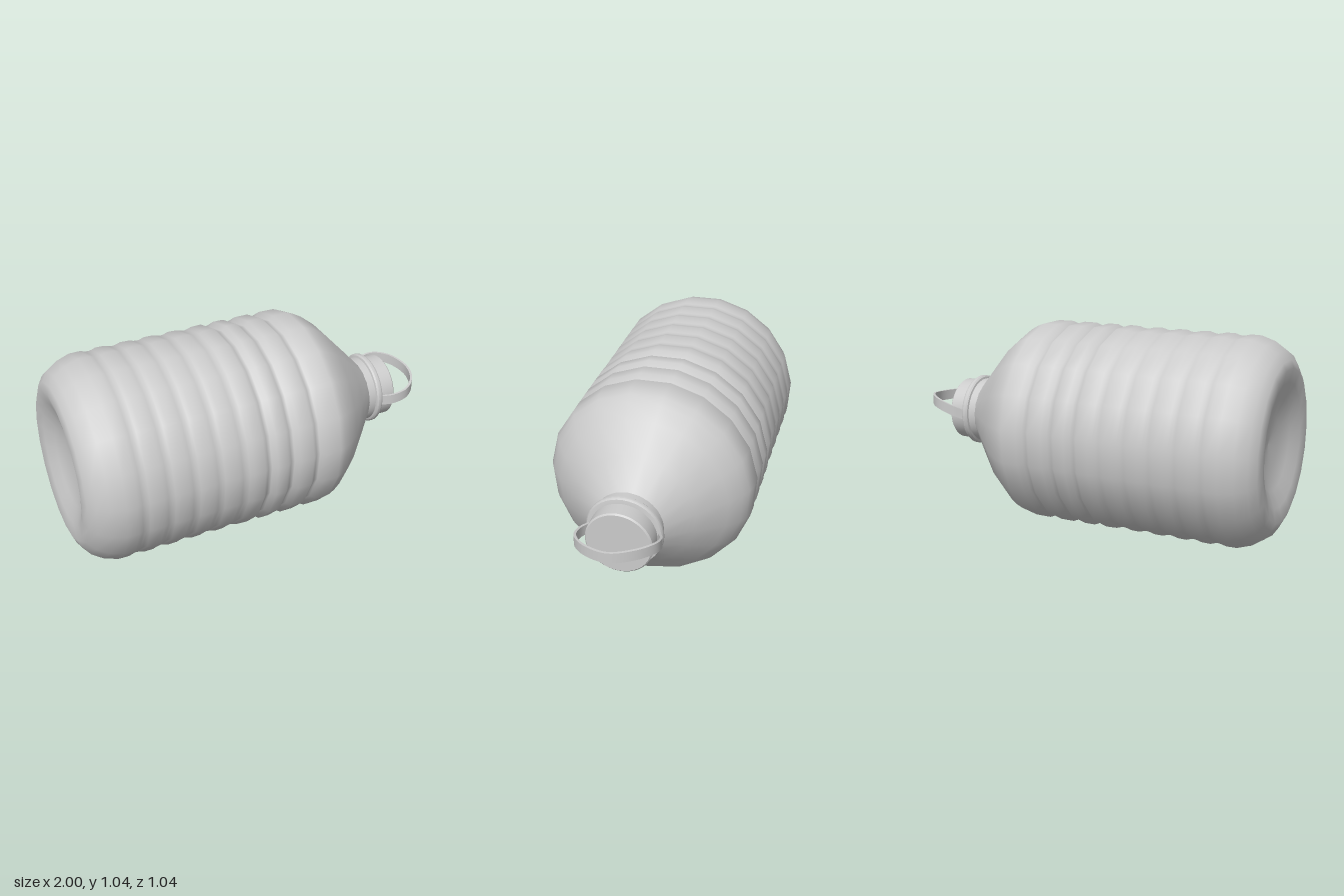
import * as THREE from 'three';
import { toCreasedNormals } from 'three/addons/utils/BufferGeometryUtils.js';

const material = new THREE.MeshStandardMaterial({ color: 0xcccccc });

// Lathe lying along x: profile pairs are [x, radius]
function lathe(name, profile, sides, y, phi = 0, crease = 0) {
  const pts = profile.map(([x, r]) => new THREE.Vector2(r, x));
  let geo = new THREE.LatheGeometry(pts, sides, phi);
  if (crease) geo = toCreasedNormals(geo, crease);
  geo.rotateZ(-Math.PI / 2);
  geo.translate(0, y, 0);
  const mesh = new THREE.Mesh(geo, material);
  mesh.name = name;
  return mesh;
}

// Body profile: dimpled base, ribbed wall, conical shoulder
function bodyProfile() {
  const R = 0.524;
  const p = [[-0.91, 0], [-0.92, 0.14], [-0.95, 0.23], [-0.985, 0.31], [-1, 0.378],
    [-0.985, 0.415], [-0.955, 0.46], [-0.9, 0.497], [-0.83, 0.52]];
  // shallow ribs
  for (let i = 0; i < 5; i++) {
    const x = -0.735 + i * 0.127;
    p.push([x - 0.04, R - 0.003], [x - 0.018, R - 0.009], [x, R - 0.012], [x + 0.018, R - 0.009], [x + 0.04, R - 0.002]);
  }
  // deep grooves
  for (const x of [-0.095, 0.028, 0.168]) {
    p.push([x - 0.035, R], [x - 0.01, R - 0.023], [x + 0.01, R - 0.023], [x + 0.033, R]);
  }
  p.push([0.285, R - 0.001], [0.32, 0.509], [0.36, 0.486], [0.43, 0.43], [0.55, 0.299], [0.665, 0.172]);
  return p;
}

// Strap: a long box bent along a curve, its width kept upright
function strap() {
  const curve = new THREE.CatmullRomCurve3([
    [0.735, 0.53, 0.16], [0.8, 0.541, 0.19], [0.88, 0.556, 0.187], [0.955, 0.57, 0.12], [0.994, 0.578, -0.005],
    [0.955, 0.591, -0.125], [0.88, 0.585, -0.192], [0.8, 0.558, -0.197], [0.735, 0.53, -0.168],
  ].map((a) => new THREE.Vector3(...a)));
  const geo = new THREE.BoxGeometry(1, 0.054, 0.012, 56, 1, 1);
  const pos = geo.attributes.position;
  const up = new THREE.Vector3(0, 1, 0);
  for (let i = 0; i < pos.count; i++) {
    const t = THREE.MathUtils.clamp(pos.getX(i) + 0.5, 0, 1);
    const side = curve.getTangentAt(t).cross(up).normalize();
    const p = curve.getPointAt(t).addScaledVector(up, pos.getY(i)).addScaledVector(side, pos.getZ(i));
    pos.setXYZ(i, p.x, p.y, p.z);
  }
  geo.computeVertexNormals();
  const mesh = new THREE.Mesh(geo, material);
  mesh.name = 'carryStrap';
  return mesh;
}

export function createModel() {
  const group = new THREE.Group();
  group.name = 'waterBottle';
  group.add(lathe('body', bodyProfile(), 19, 0.526, Math.PI / 2 + 0.02));
  // neck with its collar
  group.add(lathe('neck', [
    [0.655, 0.1], [0.655, 0.172], [0.703, 0.172], [0.706, 0.182], [0.714, 0.188],
    [0.729, 0.188], [0.738, 0.182], [0.742, 0.16], [0.742, 0],
  ], 40, 0.529, 0, 0.6));
  // screw cap
  group.add(lathe('cap', [
    [0.735, 0.163], [0.818, 0.163], [0.825, 0.156], [0.825, 0],
  ], 40, 0.528, 0, 0.6));
  group.add(strap());
  return group;
}
